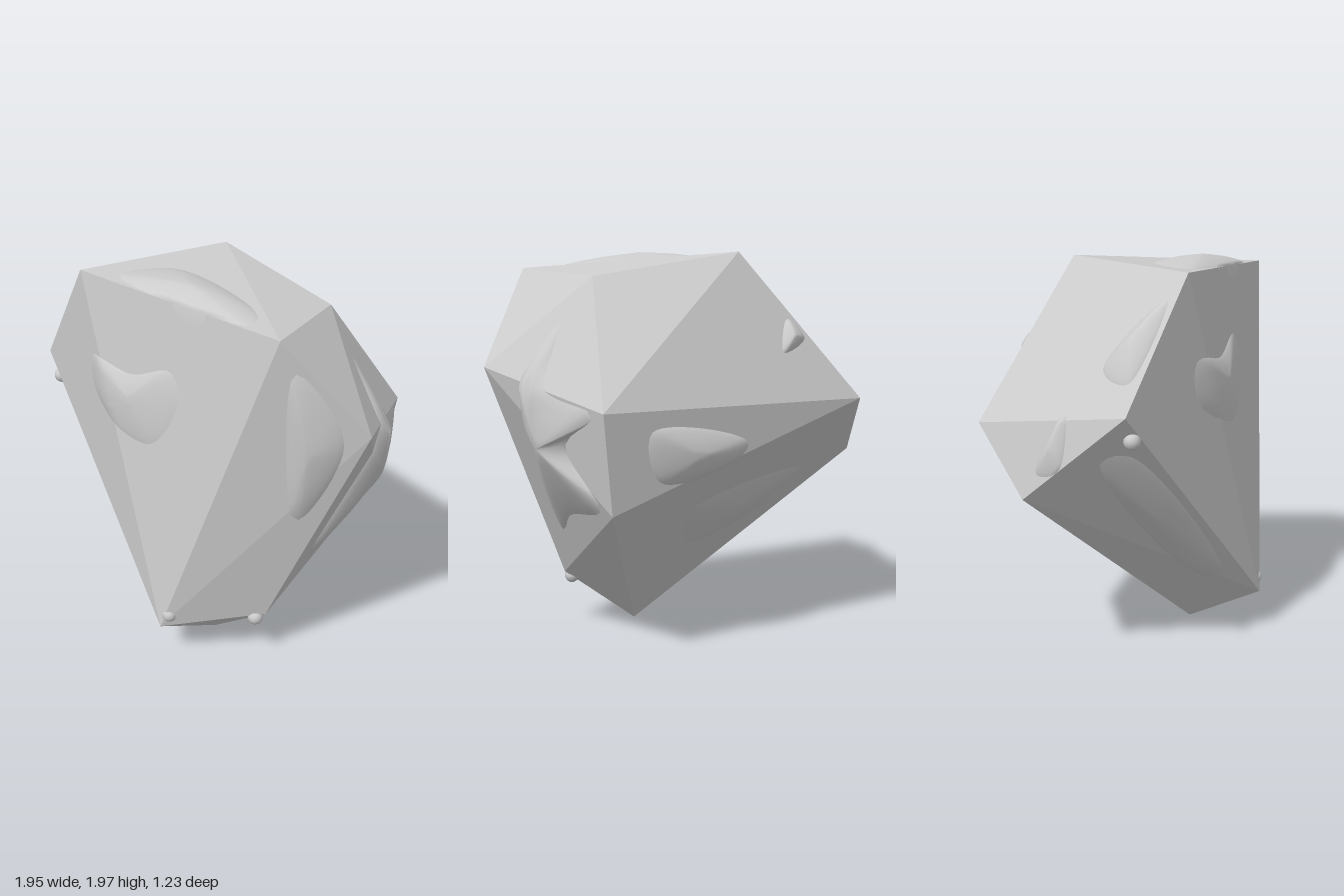
import * as THREE from 'three';
import { ConvexGeometry } from 'three/addons/geometries/ConvexGeometry.js';

const RINGS = [1, 0.92, 0.8, 0.65, 0.45, 0.2];
const COUNT = 48;

export function createModel() {
  const group = new THREE.Group();
  const faceted = new THREE.MeshStandardMaterial({ color: 0xcccccc, flatShading: true });
  const soft = new THREE.MeshStandardMaterial({ color: 0xcccccc, side: THREE.DoubleSide });

  const add = (name, geometry, material) => {
    const mesh = new THREE.Mesh(geometry, material);
    mesh.name = name;
    group.add(mesh);
    return mesh;
  };

  // Faceted rock body: crown, girdle and foot corners
  const crown = [[-0.22, 1.98, -0.3], [-0.56, 1.95, 0.41], [0.65, 1.9, 0.41], [0.52, 1.86, -0.17]];
  const girdle = [[-0.98, 1.36, 0.27], [0.97, 1.42, 0.13], [0.67, 1.25, -0.61],
    [-0.81, 1.24, -0.54], [-0.95, 0.93, -0.25], [0.6, 0.76, -0.55]];
  const foot = [[0.5, 0.3, 0.27], [0.08, 0.22, 0.61], [0.12, 0.01, 0.21]];
  const corners = [...crown, ...girdle, ...foot].map((c) => new THREE.Vector3(...c));
  const body = add('rockBody', new ConvexGeometry(corners), faceted);

  // Drop a 2D point onto the body along an axis
  const ray = new THREE.Raycaster();
  const drop = (axis, sign, u, v) => {
    const from = axis === 'x' ? new THREE.Vector3(3 * sign, v, u)
      : axis === 'y' ? new THREE.Vector3(u, 3 * sign, v) : new THREE.Vector3(u, v, 3 * sign);
    const direction = new THREE.Vector3();
    direction[axis] = -sign;
    ray.set(from, direction);
    return ray.intersectObject(body)[0];
  };

  // Soft dome draped over the body inside a rounded outline
  const lump = (name, axis, sign, height, outline) => {
    const curve = new THREE.CatmullRomCurve3(outline.map(([u, v]) => new THREE.Vector3(u, v, 0)), true);
    const points = curve.getSpacedPoints(COUNT).slice(0, COUNT);
    const centre = points.reduce((s, p) => s.add(p), new THREE.Vector3()).divideScalar(COUNT);
    const middle = drop(axis, sign, centre.x, centre.y);
    const positions = [];
    const index = [];
    const push = (hit, lift) => positions.push(
      ...hit.point.clone().addScaledVector(middle.face.normal, lift).toArray());
    RINGS.forEach((t, r) => points.forEach((p, i) => {
      const q = centre.clone().lerp(p, t);
      const rise = 1 - t * t;
      push(drop(axis, sign, q.x, q.y) || middle, height * Math.sqrt(rise) * (0.4 + 0.6 * rise) - 0.004);
      if (r === 0) return;
      const j = (i + 1) % COUNT;
      const a = (r - 1) * COUNT;
      const b = r * COUNT;
      index.push(a + i, a + j, b + i, a + j, b + j, b + i);
    }));
    push(middle, height);
    const last = (RINGS.length - 1) * COUNT;
    for (let i = 0; i < COUNT; i++) index.push(last + i, last + ((i + 1) % COUNT), last + COUNT);
    const geometry = new THREE.BufferGeometry();
    geometry.setAttribute('position', new THREE.Float32BufferAttribute(positions, 3));
    geometry.setIndex(index);
    geometry.computeVertexNormals();
    add(name, geometry, soft);
  };

  // Front face and its right-hand edge
  lump('frontLump', 'z', 1, 0.035,
    [[-0.5, 1.54], [-0.2, 1.52], [0.06, 1.6], [0.12, 1.47], [-0.06, 1.18], [-0.48, 1.33]]);
  lump('frontEdgeLump', 'z', 1, 0.05, [[0.7, 1.75], [0.8, 1.62], [0.87, 1.35], [0.67, 0.92], [0.65, 1.4]]);

  // Crown, shoulder and underside
  lump('topLump', 'y', 1, 0.05, [[-0.38, 0.34], [-0.22, 0.11], [0.42, 0.26], [0.47, 0.38]]);
  lump('shoulderLump', 'y', 1, 0.05, [[-0.87, 0.25], [-0.78, 0.08], [-0.62, 0.34]]);
  lump('underLump', 'y', -1, 0.045, [[-0.9, 0.1], [-0.85, 0.24], [-0.1, 0.47], [-0.15, 0.36]]);

  // Sides
  lump('sideLump', 'x', 1, 0.07, [[-0.14, 1.66], [-0.26, 1.34], [-0.55, 1.24], [-0.33, 1.07],
    [-0.47, 0.78], [-0.1, 0.68], [0.06, 0.57], [-0.08, 1.25]]);
  lump('leftLump', 'x', -1, 0.035, [[-0.05, 1.36], [-0.06, 1.08], [-0.19, 1.05]]);

  // Back faces
  lump('backLump', 'z', -1, 0.06, [[0.42, 1.15], [-0.14, 1.06], [-0.08, 0.97], [0.36, 0.9]]);
  lump('backSmallLump', 'z', -1, 0.04, [[-0.44, 1.65], [-0.38, 1.48], [-0.53, 1.55]]);
  lump('backLowerLump', 'z', -1, 0.03, [[0.1, 0.7], [-0.66, 0.86], [-0.45, 0.62], [0, 0.48]]);

  // Tiny nubs near the corners
  for (const [x, y, z] of [[0.11, 0.29, 0.57], [0.45, 0.27, 0.29], [-0.9, 1.24, 0.27]]) {
    add('nub', new THREE.SphereGeometry(0.04, 12, 8), soft).position.set(x, y, z);
  }
  return group;
}
